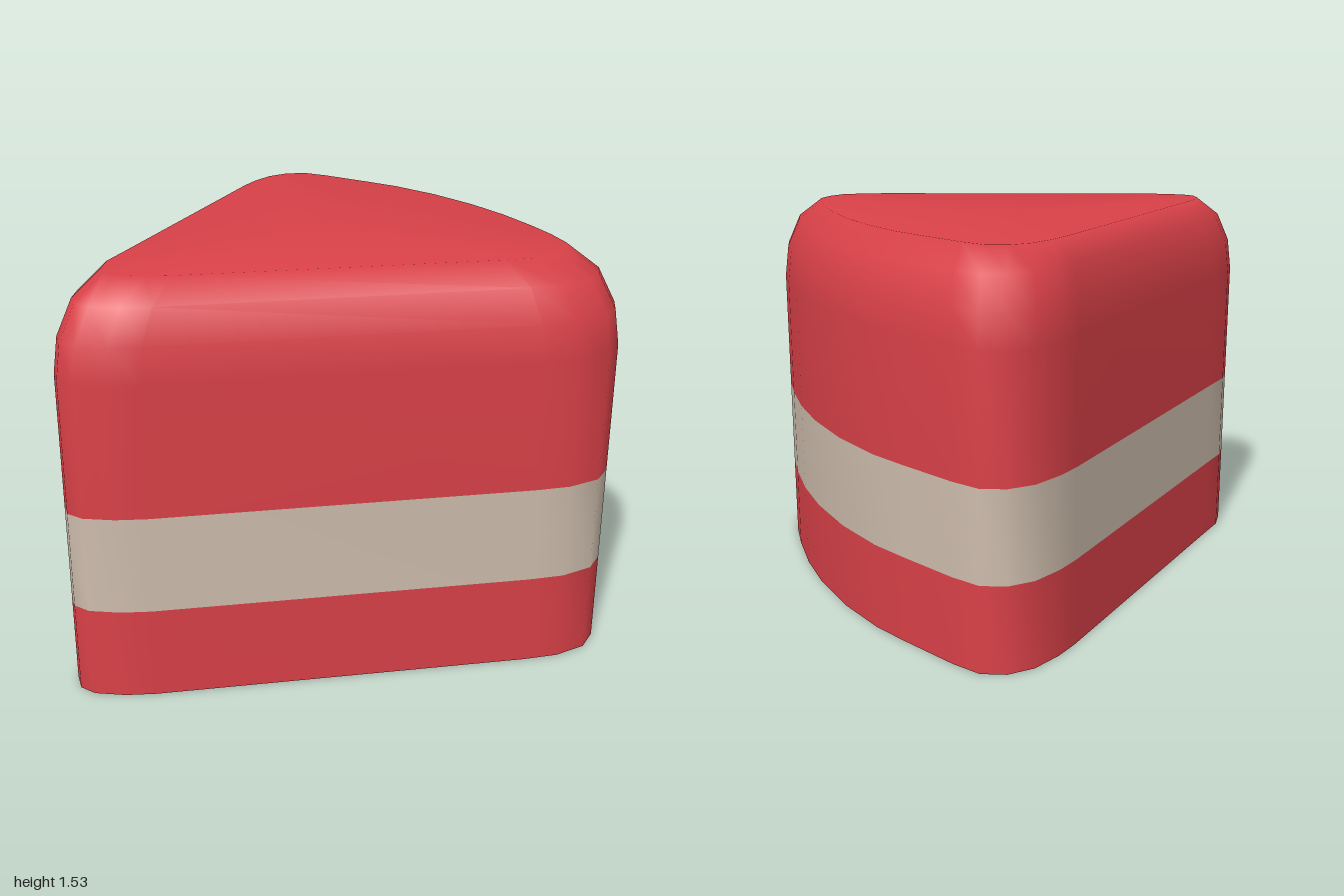
import * as THREE from 'three';

// Rounded wedge footprint as x, z pairs, running back tip -> right -> front -> left
const OUTLINE = [
  [-0.01, -0.88], [0.09, -0.875], [0.19, -0.8], [0.38, -0.62], [0.5, -0.5],
  [0.65, -0.3], [0.78, -0.07], [0.87, 0.14], [0.94, 0.36], [0.98, 0.52],
  [1, 0.66], [0.97, 0.75], [0.91, 0.825], [0.79, 0.867], [0.66, 0.875],
  [-0.72, 0.875], [-0.83, 0.865], [-0.94, 0.835], [-0.99, 0.79], [-1, 0.72],
  [-0.975, 0.62], [-0.9, 0.49], [-0.26, -0.64], [-0.2, -0.73], [-0.11, -0.83],
];
const CENTRE = [-0.015, 0.155];

// Stacks scaled copies of the footprint; rings are [height, scale] pairs
function loft(rings, capped) {
  const n = OUTLINE.length;
  const positions = [];
  const index = [];
  for (const [y, s] of rings) {
    for (const [x, z] of OUTLINE) {
      positions.push(CENTRE[0] + (x - CENTRE[0]) * s, y, CENTRE[1] + (z - CENTRE[1]) * s);
    }
  }
  for (let r = 0; r < rings.length - 1; r++) {
    for (let i = 0; i < n; i++) {
      const a = r * n + i;
      const b = r * n + ((i + 1) % n);
      index.push(a, a + n, b + n, a, b + n, b);
    }
  }
  if (capped) {
    const last = (rings.length - 1) * n;
    const tip = rings.length * n;
    positions.push(CENTRE[0], rings[rings.length - 1][0], CENTRE[1]);
    for (let i = 0; i < n; i++) index.push(tip, last + ((i + 1) % n), last + i);
  }
  const geometry = new THREE.BufferGeometry();
  geometry.setAttribute('position', new THREE.Float32BufferAttribute(positions, 3));
  geometry.setIndex(index);
  geometry.computeVertexNormals();
  return geometry;
}

export function createModel() {
  const red = new THREE.MeshStandardMaterial({ color: 0xd94148, side: THREE.DoubleSide });
  red.name = 'red';
  const cream = new THREE.MeshStandardMaterial({ color: 0xcdbcac, side: THREE.DoubleSide });
  cream.name = 'cream';

  const model = new THREE.Group();
  model.name = 'wedge';
  const add = (name, material, rings, capped = false) => {
    const mesh = new THREE.Mesh(loft(rings, capped), material);
    mesh.name = name;
    model.add(mesh);
  };

  // Hollow shell, open underneath
  add('lowerWall', red, [[0, 1], [0.345, 1]]);
  add('stripe', cream, [[0.345, 1], [0.71, 1]]);
  // Upper wall rounding over into the flat top
  add('roundedTop', red, [[0.71, 1], [1.2, 1], [1.33, 0.982], [1.45, 0.925], [1.53, 0.82]], true);
  return model;
}
